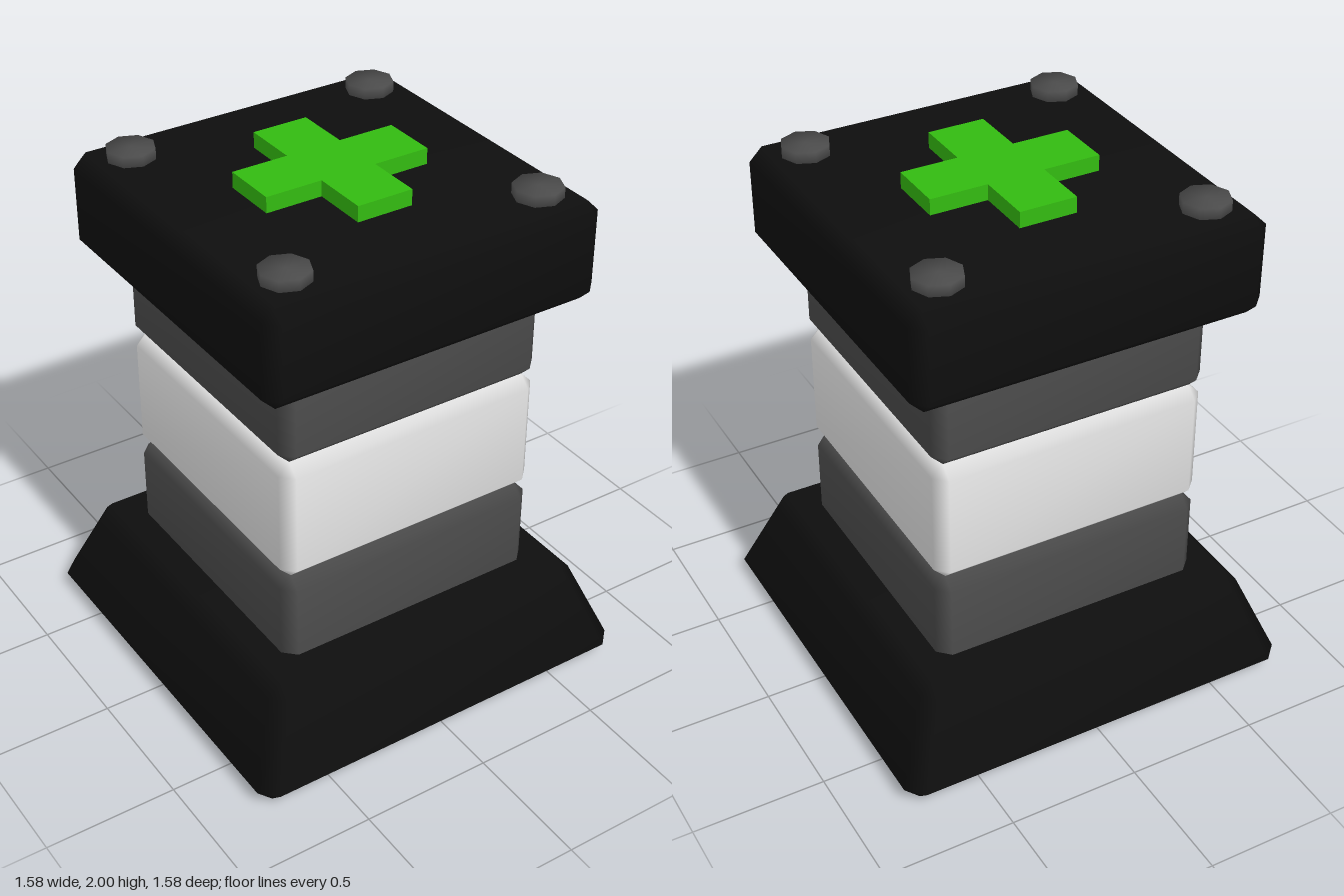
import * as THREE from 'three';
import { mergeVertices } from 'three/addons/utils/BufferGeometryUtils.js';

const material = (name, color) => {
  const m = new THREE.MeshStandardMaterial({ color });
  m.name = name;
  return m;
};

// Share vertices so the bevels shade smoothly
function smooth(geometry) {
  geometry.deleteAttribute('normal');
  geometry.deleteAttribute('uv');
  const merged = mergeVertices(geometry, 1e-4);
  merged.computeVertexNormals();
  return merged;
}

// Square block with cut corners, lofted through [y, half width, corner cut] sections
function bevelledBlock(sections) {
  const points = [], index = [];
  for (const [y, h, c] of sections) {
    const k = h - c;
    for (const [x, z] of [[h, k], [k, h], [-k, h], [-h, k], [-h, -k], [-k, -h], [k, -h], [h, -k]]) {
      points.push(x, y, z);
    }
  }
  const last = (sections.length - 1) * 8;
  for (let s = 0; s < last; s += 8) {
    for (let i = 0; i < 8; i++) {
      const a = s + i, b = s + (i + 1) % 8;
      index.push(a, a + 8, b, b, a + 8, b + 8);
    }
  }
  // Flat caps
  for (let i = 1; i < 7; i++) {
    index.push(0, i, i + 1);
    index.push(last, last + i + 1, last + i);
  }
  const g = new THREE.BufferGeometry();
  g.setAttribute('position', new THREE.Float32BufferAttribute(points, 3));
  g.setIndex(index);
  return smooth(g);
}

// Straight block with the same bevel on every edge
const bevelledBox = (y0, y1, h, b) => bevelledBlock([
  [y0, h - b, 0], [y0 + b, h, b], [y1 - b, h, b], [y1, h - b, 0],
]);

export function createModel() {
  const model = new THREE.Group();
  const black = material('black casing', 0x0e0e0e);
  const grey = material('dark grey', 0x4b4b4b);
  const white = material('pale band', 0xe4e4e4);
  const green = material('green', 0x33bb11);

  const add = (name, geometry, mat) => {
    const mesh = new THREE.Mesh(geometry, mat);
    mesh.name = name;
    model.add(mesh);
    return mesh;
  };

  // Flared foot and square cap
  add('base', bevelledBlock([
    [0, 0.73, 0], [0.06, 0.79, 0.06], [0.36, 0.67, 0.05], [0.41, 0.62, 0],
  ]), black);
  add('cap', bevelledBox(1.56, 1.94, 0.667, 0.05), black);

  // Column segments
  add('lowerColumn', bevelledBox(0.3, 0.742, 0.533, 0.045), grey);
  add('middleBand', bevelledBox(0.742, 1.226, 0.533, 0.045), white);
  add('upperColumn', bevelledBox(1.226, 1.67, 0.533, 0.045), grey);

  // Bolts at the cap corners
  const boltGeometry = smooth(new THREE.CylinderGeometry(0.09, 0.09, 0.06, 8));
  for (const x of [-0.5, 0.5]) {
    for (const z of [-0.5, 0.5]) {
      add('bolt', boltGeometry, grey).position.set(x, 1.95, z);
    }
  }

  // Raised plus sign on top
  const a = 0.325, w = 0.108;
  const plus = new THREE.Shape([
    [w, a], [-w, a], [-w, w], [-a, w], [-a, -w], [-w, -w],
    [-w, -a], [w, -a], [w, -w], [a, -w], [a, w], [w, w],
  ].map(([x, y]) => new THREE.Vector2(x, y)));
  const plusGeometry = new THREE.ExtrudeGeometry(plus, { depth: 0.07, bevelEnabled: false });
  plusGeometry.rotateX(-Math.PI / 2);
  add('plusSign', plusGeometry, green).position.y = 1.93;

  return model;
}
